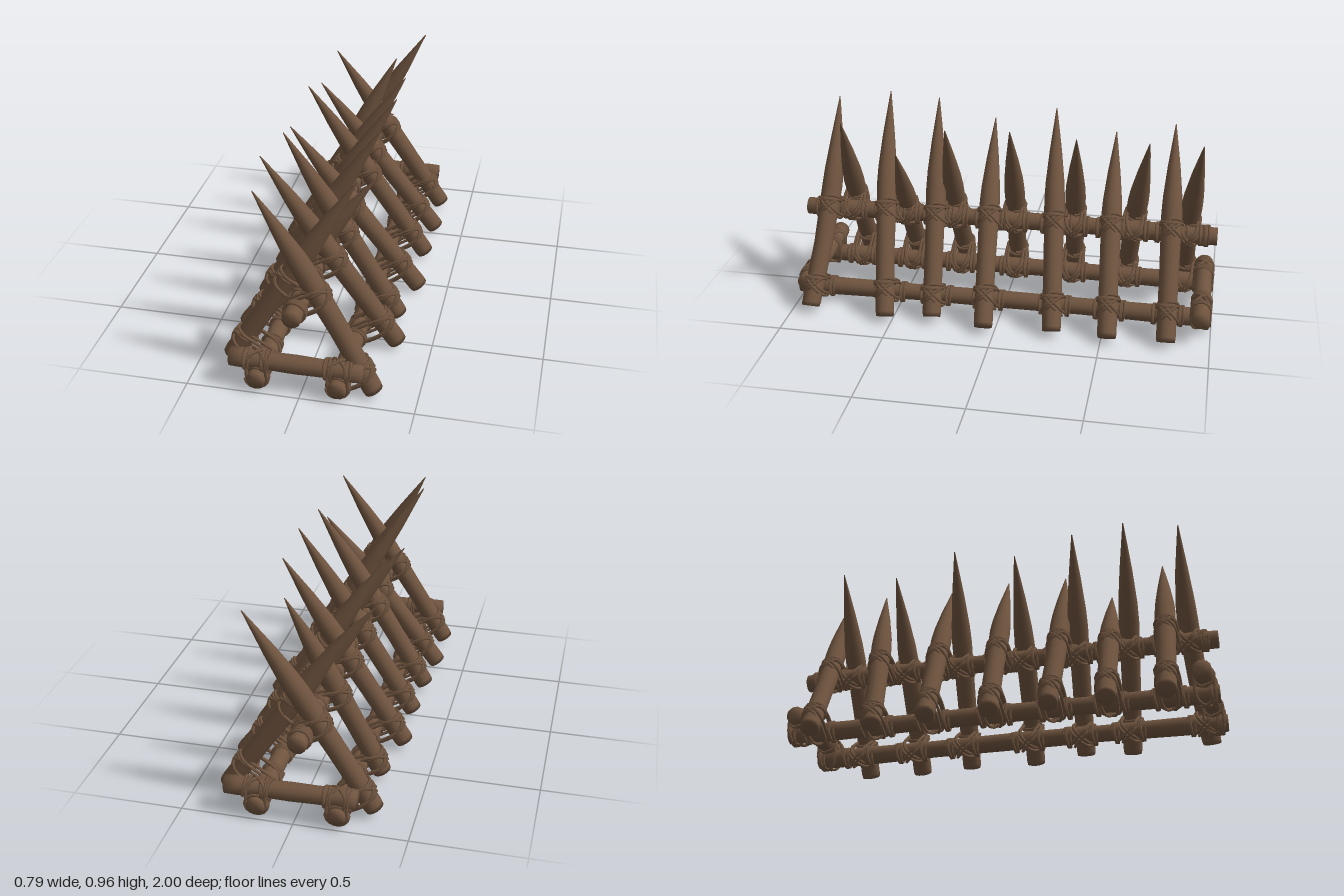
import * as THREE from 'three';

const V = (x, y, z) => new THREE.Vector3(x, y, z);
const wood = new THREE.MeshStandardMaterial({ color: 0x6f543f });
wood.name = 'brown wood';

// Axes with y along the log and z sideways
function frame(dir) {
  const side = Math.abs(dir.z) > 0.9 ? V(0, 1, 0) : V(0, 0, 1);
  side.addScaledVector(dir, -side.dot(dir)).normalize();
  return { x: dir.clone().cross(side), y: dir, z: side };
}

// Round log from a to b; profile is [fraction of length, radius], bend bows it sideways
function log(name, a, b, profile, bend = 0) {
  const span = b.clone().sub(a), len = span.length();
  const pts = [new THREE.Vector2(0, 0), ...profile.map(([t, r]) => new THREE.Vector2(r, t * len)), new THREE.Vector2(0, len)];
  const geo = new THREE.LatheGeometry(pts, 14);
  const p = geo.attributes.position;
  for (let i = 0; i < p.count; i++) {
    p.setZ(i, p.getZ(i) + bend * Math.sin(Math.PI * p.getY(i) / len));
  }
  const f = frame(span.normalize());
  geo.applyMatrix4(new THREE.Matrix4().makeBasis(f.x, f.y, f.z).setPosition(a));
  const mesh = new THREE.Mesh(geo, wood);
  mesh.name = name;
  return mesh;
}

function rope(name, pts, closed, segments) {
  const curve = new THREE.CatmullRomCurve3(pts, closed);
  const mesh = new THREE.Mesh(new THREE.TubeGeometry(curve, segments, 0.0075, 5, closed), wood);
  mesh.name = name;
  return mesh;
}

// Helical winding around an axis
function coil(c, dir, radius, turns, width) {
  const f = frame(dir.clone().normalize()), pts = [], n = turns * 10;
  for (let i = 0; i <= n; i++) {
    const a = i / n * turns * Math.PI * 2;
    pts.push(c.clone()
      .addScaledVector(f.y, (i / n - 0.5) * width + 0.004 * Math.sin(a * 1.7))
      .addScaledVector(f.x, Math.cos(a) * radius)
      .addScaledVector(f.z, Math.sin(a) * radius));
  }
  return rope('ropeCoil', pts, false, turns * 14);
}

// Diagonal loop around two crossing logs: u runs across, d from one log to the other
function crossLoop(c, u, d, halfWidth, halfDepth) {
  const pts = [];
  for (let i = 0; i < 12; i++) {
    const a = i / 12 * Math.PI * 2, s = Math.sin(a), k = Math.cos(a);
    pts.push(c.clone()
      .addScaledVector(u, Math.sign(k) * Math.abs(k) ** 0.75 * halfWidth)
      .addScaledVector(d, Math.sign(s) * Math.abs(s) ** 0.75 * halfDepth));
  }
  return rope('ropeLoop', pts, true, 26);
}

const stakeProfile = [[0, 0.042], [0.02, 0.045], [0.3, 0.045], [0.58, 0.049], [0.66, 0.045], [0.8, 0.03], [0.93, 0.012], [1, 0.002]];
const railProfile = [[0, 0.042], [0.1, 0.044], [0.3, 0.04], [0.5, 0.042], [0.7, 0.039], [0.9, 0.043], [1, 0.041]];

// Stakes: base x, y, z, tip x, y, z, sideways bow
const stakes = [
  [0.31, 0.05, 0.91, -0.21, 0.94, 0.87, -0.025],
  [0.345, 0.05, 0.53, -0.245, 0.97, 0.62, 0.008],
  [0.31, 0.05, 0.31, -0.21, 0.965, 0.37, 0],
  [0.365, 0.05, 0.05, -0.25, 0.865, 0.1, 0.005],
  [0.345, 0.05, -0.27, -0.235, 0.94, -0.2, 0],
  [0.36, 0.05, -0.53, -0.24, 0.835, -0.49, 0.005],
  [0.35, 0.05, -0.8, -0.22, 0.9, -0.77, 0],
  [-0.355, 0.06, 0.79, 0.2, 0.96, 0.74, 0.005],
  [-0.36, 0.05, 0.53, 0.22, 0.83, 0.48, 0],
  [-0.34, 0.06, 0.27, 0.205, 0.96, 0.25, 0.008],
  [-0.33, 0.06, 0, 0.22, 0.98, -0.05, -0.005],
  [-0.345, 0.06, -0.29, 0.21, 0.96, -0.35, 0],
  [-0.295, 0.06, -0.56, 0.11, 0.925, -0.67, 0.005],
  [-0.325, 0.06, -0.85, 0.22, 0.97, -0.91, 0.012],
];

// Long rails: x, y
const topRail = [-0.025, 0.425], leftRail = [0.165, 0.09], rightRail = [-0.19, 0.09];

// Lashing where a stake meets a rail
function lashing(a, b, bow, rail) {
  const g = new THREE.Group();
  g.name = 'lashing';
  const dir = b.clone().sub(a), len = dir.length();
  dir.normalize();
  const t = (rail[0] - a.x) * dir.x + (rail[1] - a.y) * dir.y;
  const c = a.clone().addScaledVector(dir, t);
  c.z += bow * Math.sin(Math.PI * t / len);
  const railPoint = V(rail[0], rail[1], c.z);
  const d = railPoint.clone().sub(c);
  const gap = d.length();
  d.normalize();
  const mid = c.clone().lerp(railPoint, 0.5);
  for (const s of [-1, 1]) {
    const u = dir.clone().add(V(0, 0, s)).normalize();
    for (const o of [-0.009, 0.009]) {
      const across = dir.clone().add(V(0, 0, -s)).normalize();
      g.add(crossLoop(mid.clone().addScaledVector(across, o), u, d, 0.062, gap / 2 + 0.05));
    }
    // windings on the rail at both sides of the stake
    g.add(coil(railPoint.clone().add(V(0, 0, s * 0.062)), V(0, 0, 1), 0.046, 2, 0.03));
  }
  g.add(coil(c.clone().addScaledVector(dir, 0.03), dir, 0.05, 2, 0.025));
  return g;
}

export function createModel() {
  const model = new THREE.Group();
  model.name = 'spikedBarricade';

  // Long rails
  for (const [name, [x, y]] of [['topRail', topRail], ['leftBottomRail', leftRail], ['rightBottomRail', rightRail]]) {
    model.add(log(name, V(x, y, -1), V(x, y, 1), railProfile, 0.006));
  }

  // Crossed stakes with their lashings
  for (const [ax, ay, az, bx, by, bz, bow] of stakes) {
    const a = V(ax, ay, az), b = V(bx, by, bz);
    model.add(log('stake', a, b, stakeProfile, bow));
    model.add(lashing(a, b, bow, topRail));
    model.add(lashing(a, b, bow, ax > 0 ? leftRail : rightRail));
  }

  // Cross logs at both ends, bound to the bottom rails
  for (const [name, x0, x1, z] of [['frontCrossLog', -0.315, 0.27, 0.94], ['backCrossLog', -0.27, 0.31, -0.95]]) {
    model.add(log(name, V(x0, 0.16, z), V(x1, 0.152, z), railProfile));
    for (const [x, y] of [leftRail, rightRail]) {
      const s = Math.sign(x);
      model.add(coil(V(x + s * 0.045, 0.155, z), V(1, 0, 0), 0.045, 2, 0.03));
      model.add(coil(V(x - s * 0.04, 0.155, z), V(1, 0, 0), 0.045, 3, 0.045));
      model.add(coil(V(x, y, z + Math.sign(z) * 0.03), V(0, 0, 1), 0.05, 2, 0.025));
      for (const k of [-1, 1]) {
        model.add(crossLoop(V(x, 0.122, z), V(1, 0, k).normalize(), V(0, 1, 0), 0.062, 0.082));
      }
    }
    // winding near the end of the top rail
    model.add(coil(V(topRail[0], topRail[1], z), V(0, 0, 1), 0.048, 2, 0.03));
  }
  return model;
}
